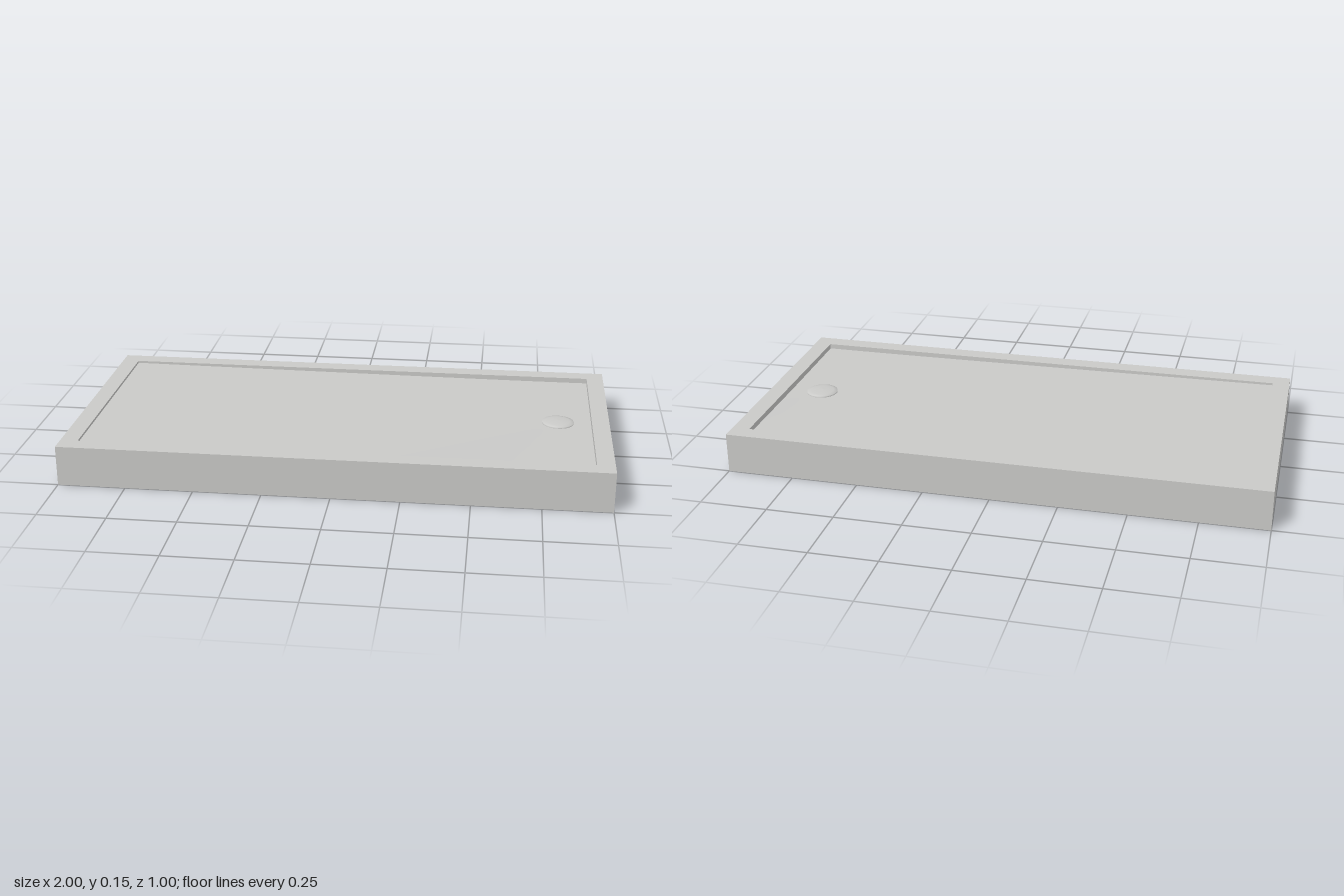
import * as THREE from 'three';

const shellGrey = new THREE.MeshStandardMaterial({ name: 'shell grey', color: 0xc9c9c7 });
const liningTan = new THREE.MeshStandardMaterial({ name: 'lining tan', color: 0xcdc4a8 });
const baseGrey = new THREE.MeshStandardMaterial({ name: 'base light grey', color: 0xd8d8d6 });

const DRAIN_X = 0.81;
const CEILING = 0.08; // underside of the thick tray top
const HEIGHT = 0.15;

// Rectangle outline centred on the origin
function rect(path, hx, hz) {
  path.moveTo(-hx, -hz);
  path.lineTo(hx, -hz);
  path.lineTo(hx, hz);
  path.lineTo(-hx, hz);
  path.closePath();
  return path;
}

// Extrude a flat plan upwards from y0 to y1
function slab(shape, y0, y1) {
  const geo = new THREE.ExtrudeGeometry(shape, { depth: y1 - y0, bevelEnabled: false, curveSegments: 48 });
  return geo.rotateX(-Math.PI / 2).translate(0, y0, 0);
}

// Rectangular ring between two half sizes
function frame(hx, hz, border, y0, y1) {
  const shape = rect(new THREE.Shape(), hx, hz);
  shape.holes.push(rect(new THREE.Path(), hx - border, hz - border));
  return slab(shape, y0, y1);
}

// Tray floor falls gently towards the drain
function floorHeight(x, z) {
  return 0.127 + 0.008 * Math.hypot(x - DRAIN_X, z);
}

export function createModel() {
  const model = new THREE.Group();
  const add = (name, geo, mat) => {
    const mesh = new THREE.Mesh(geo, mat);
    mesh.name = name;
    model.add(mesh);
    return mesh;
  };

  // Raised rim and outer skirt
  add('rim', frame(1, 0.5, 0.065, CEILING, HEIGHT), shellGrey);
  add('skirt', frame(1, 0.5, 0.012, 0, CEILING), shellGrey);

  // Sloping floor inside the rim
  const floor = new THREE.PlaneGeometry(1.87, 0.87, 40, 20).rotateX(-Math.PI / 2);
  const p = floor.attributes.position;
  for (let i = 0; i < p.count; i++) p.setY(i, floorHeight(p.getX(i), p.getZ(i)));
  floor.computeVertexNormals();
  add('trayFloor', floor, shellGrey);

  // Shallow domed drain cover
  const cover = new THREE.LatheGeometry(
    [[0.06, 0], [0.06, 0.006], [0.045, 0.009], [0.025, 0.011], [0, 0.012]].map(([r, y]) => new THREE.Vector2(r, y)), 40);
  add('drainCover', cover, shellGrey).position.set(DRAIN_X, floorHeight(DRAIN_X, 0), 0);

  // Inner lining of the skirt and underside of the tray
  add('skirtLining', frame(0.988, 0.488, 0.006, 0, CEILING), liningTan);
  add('underside', new THREE.PlaneGeometry(1.97, 0.97).rotateX(Math.PI / 2).translate(0, CEILING, 0), liningTan);

  // Support block with a round cutout for the drain that breaks its edge
  const hx = 0.935, hz = 0.435, r = 0.183;
  const a = Math.acos((hx - DRAIN_X) / r);
  const base = new THREE.Shape();
  base.moveTo(-hx, -hz);
  base.lineTo(hx, -hz);
  base.lineTo(hx, -r * Math.sin(a));
  base.absarc(DRAIN_X, 0, r, -a, a, true);
  base.lineTo(hx, hz);
  base.lineTo(-hx, hz);
  base.closePath();
  add('supportBlock', slab(base, 0.003, CEILING), baseGrey);

  return model;
}
